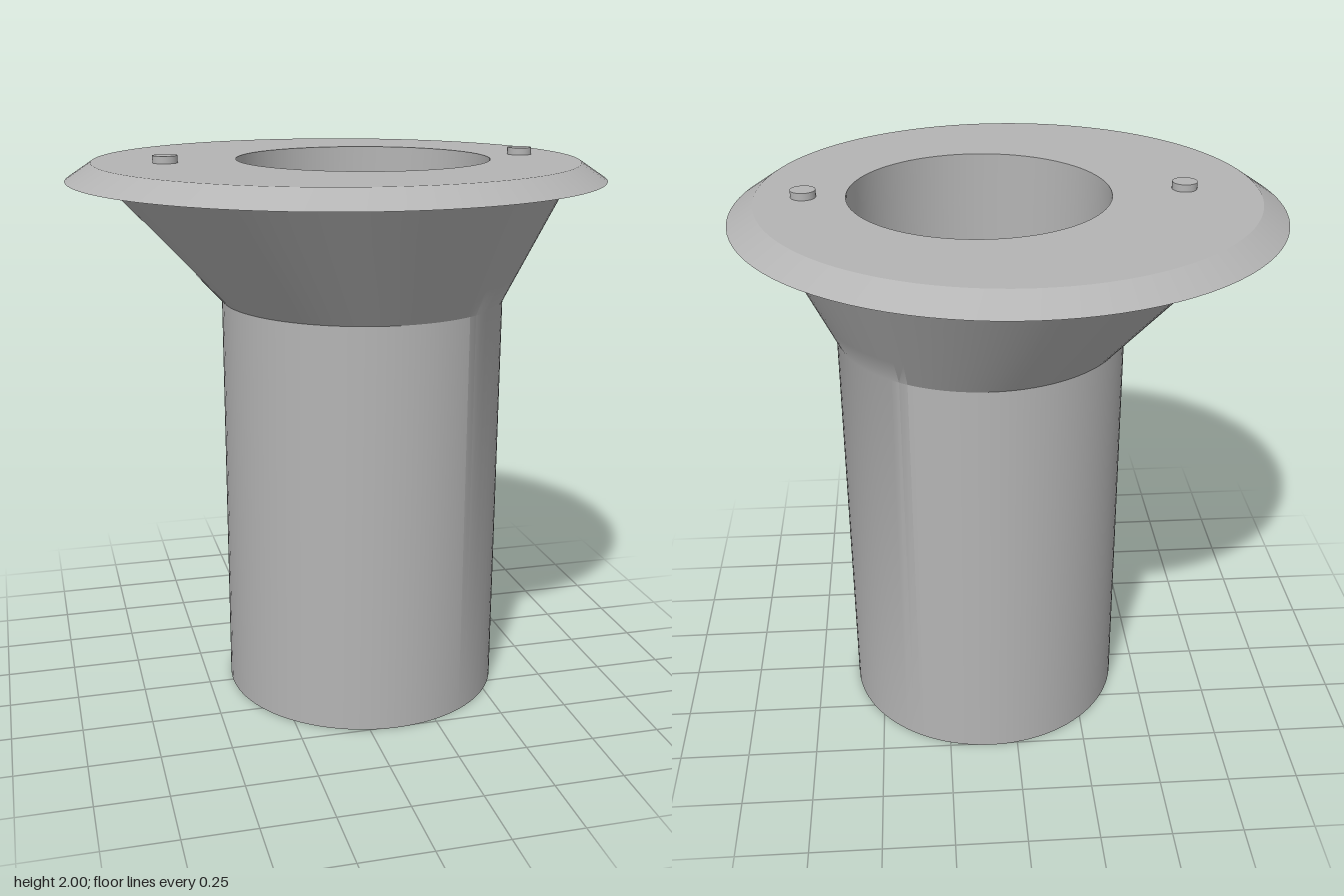
import * as THREE from 'three';
import { toCreasedNormals } from 'three/addons/utils/BufferGeometryUtils.js';

const SLOT_COLS = 4, REST_COLS = 92, COLS = SLOT_COLS + REST_COLS;
const SLOT_HALF = 0.09, SLOT_LOW = 1.58, SLOT_HIGH = 1.79;
const TUBE_X = 0.097, TUBE_R = 0.507, BORE_R = 0.447, HOLE_R = 0.3;
const CONE_LOW = 1.48, RIM_LOW = 1.915, TOP = 1.975, CONE_R = 0.81;
const FLOOR = 0.055;

// A circle of points whose first columns span the cable slot on the -x side
function ring(y, r, cx = TUBE_X) {
  const a = Math.asin(SLOT_HALF / r);
  const points = [];
  for (let j = 0; j <= COLS; j++) {
    const t = j <= SLOT_COLS
      ? Math.PI - a + (2 * a * j) / SLOT_COLS
      : Math.PI + a + ((2 * Math.PI - 2 * a) * (j - SLOT_COLS)) / REST_COLS;
    points.push(new THREE.Vector3(cx + r * Math.cos(t), y, -r * Math.sin(t)));
  }
  points[COLS].copy(points[0]);
  return points;
}

// Ring on the flare between the offset tube and the centred rim
function coneRing(y) {
  const t = (y - CONE_LOW) / (RIM_LOW - CONE_LOW);
  return ring(y, THREE.MathUtils.lerp(TUBE_R, CONE_R, t), TUBE_X * (1 - t));
}

function quad(out, a, b, c, d) {
  for (const p of [a, b, c, a, c, d]) out.push(p.x, p.y, p.z);
}

// Bands between two rings, over a range of columns
function band(out, lower, upper, from = 0, to = COLS) {
  for (let j = from; j < to; j++) quad(out, lower[j], lower[j + 1], upper[j + 1], upper[j]);
}

// Skin over successive rings; the band numbered slotBand is left open at the slot
function skin(rings, slotBand = -1) {
  const out = [];
  for (let i = 0; i < rings.length - 1; i++) {
    band(out, rings[i], rings[i + 1], i === slotBand ? SLOT_COLS : 0);
  }
  return out;
}

function makeMesh(name, positions, material) {
  const geometry = new THREE.BufferGeometry();
  geometry.setAttribute('position', new THREE.Float32BufferAttribute(positions, 3));
  const mesh = new THREE.Mesh(toCreasedNormals(geometry, Math.PI / 6), material);
  mesh.name = name;
  return mesh;
}

export function createModel() {
  const group = new THREE.Group();
  group.name = 'flangedSleeve';
  const grey = new THREE.MeshStandardMaterial({ color: 0xb4b4b4 });
  grey.name = 'grey';

  // Outer tube flaring into an off-centre cone
  const coneSlotLow = coneRing(SLOT_LOW), coneSlotHigh = coneRing(SLOT_HIGH);
  group.add(makeMesh('tubeAndFlare', skin([
    ring(0, TUBE_R), ring(CONE_LOW, TUBE_R), coneSlotLow, coneSlotHigh, coneRing(RIM_LOW),
  ], 2), grey));

  // Bevelled flange, with its flat top reaching in to the bore
  group.add(makeMesh('flange', skin([
    coneRing(RIM_LOW), ring(RIM_LOW, 0.94, 0), ring(TOP, 0.85, 0), ring(TOP, BORE_R),
  ]), grey));

  // Bore wall
  const boreSlotLow = ring(SLOT_LOW, BORE_R), boreSlotHigh = ring(SLOT_HIGH, BORE_R);
  group.add(makeMesh('bore', skin([
    ring(TOP, BORE_R), boreSlotHigh, boreSlotLow, ring(FLOOR, BORE_R),
  ], 1), grey));

  // Floor with a round drain hole
  group.add(makeMesh('floor', skin([
    ring(FLOOR, BORE_R), ring(FLOOR, HOLE_R), ring(0, HOLE_R), ring(0, TUBE_R),
  ]), grey));

  // Rectangular cable slot through the flare
  const slot = [];
  band(slot, coneSlotLow, boreSlotLow, 0, SLOT_COLS);
  band(slot, boreSlotHigh, coneSlotHigh, 0, SLOT_COLS);
  quad(slot, coneSlotLow[0], boreSlotLow[0], boreSlotHigh[0], coneSlotHigh[0]);
  const k = SLOT_COLS;
  quad(slot, boreSlotLow[k], coneSlotLow[k], coneSlotHigh[k], boreSlotHigh[k]);
  group.add(makeMesh('cableSlot', slot, grey));

  // Two small pins on top of the flange
  const pinGeometry = new THREE.CylinderGeometry(0.043, 0.043, 0.035, 32);
  for (const [name, x] of [['rightPin', -0.6], ['leftPin', 0.685]]) {
    const pin = new THREE.Mesh(pinGeometry, grey);
    pin.name = name;
    pin.position.set(x, 1.9825, 0);
    group.add(pin);
  }
  return group;
}
